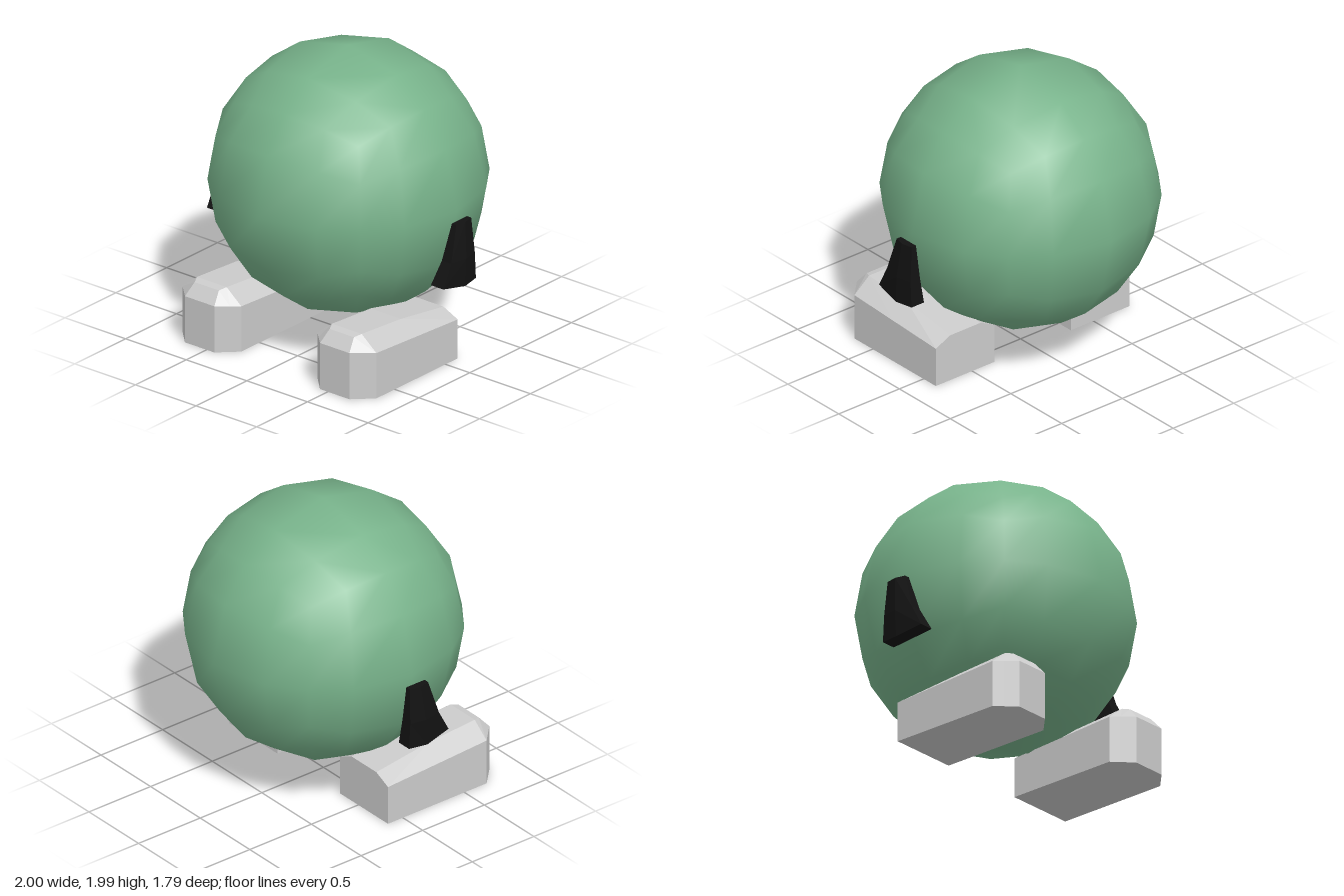
import * as THREE from 'three';

const paint = (color, flatShading) => new THREE.MeshStandardMaterial({ color, flatShading });

// Skins a list of rings (counter-clockwise seen from the last ring's end) and caps both ends.
// side = -1 mirrors the shape across x and reverses the winding.
function loft(rings, side) {
  const pos = [];
  const tri = (a, b, c) => {
    for (const p of side > 0 ? [a, b, c] : [a, c, b]) pos.push(side * p[0], p[1], p[2]);
  };
  const n = rings[0].length;
  for (let s = 0; s < rings.length - 1; s++) {
    for (let i = 0; i < n; i++) {
      const j = (i + 1) % n, a = rings[s], b = rings[s + 1];
      tri(a[i], a[j], b[j]);
      tri(a[i], b[j], b[i]);
    }
  }
  const first = rings[0], last = rings[rings.length - 1];
  for (let i = 1; i < n - 1; i++) {
    tri(first[0], first[i + 1], first[i]);
    tri(last[0], last[i], last[i + 1]);
  }
  const geo = new THREE.BufferGeometry();
  geo.setAttribute('position', new THREE.Float32BufferAttribute(pos, 3));
  geo.computeVertexNormals();
  return geo;
}

// Round body: a subdivided cube pushed out onto a sphere, smooth shaded
function makeBody() {
  const geo = new THREE.BoxGeometry(2, 2, 2, 4, 4, 4);
  const p = geo.attributes.position, v = new THREE.Vector3();
  for (let i = 0; i < p.count; i++) {
    v.fromBufferAttribute(p, i).normalize();
    geo.attributes.normal.setXYZ(i, v.x, v.y, v.z);
    v.multiplyScalar(0.895);
    p.setXYZ(i, v.x, v.y, v.z);
  }
  const body = new THREE.Mesh(geo, paint(0x78b38b, false));
  body.position.y = 1.09;
  body.name = 'body';
  return body;
}

// Foot: boxy shoe with a bevelled top and a chamfered toe
function makeFoot(side) {
  const cx = 0.557;
  // z, half width, rim height, top half width, top height
  const sections = [
    [-0.12, 0.243, 0.27, 0.125, 0.325],
    [0.3, 0.243, 0.293, 0.125, 0.385],
    [0.68, 0.243, 0.314, 0.122, 0.412],
    [0.73, 0.192, 0.317, 0.1, 0.4],
    [0.8, 0.121, 0.32, 0.121, 0.32],
  ];
  const rings = sections.map(([z, w, rim, tw, top]) => [
    [cx - w, 0, z], [cx + w, 0, z], [cx + w, rim, z],
    [cx + tw, top, z], [cx - tw, top, z], [cx - w, rim, z],
  ]);
  return new THREE.Mesh(loft(rings, side), paint(0xcccccc, true));
}

// Arm: tapered slab with a ridged outer face, flaring forward at the bottom
function makeArm(side) {
  // inner x, outer x, ridge x, back z, ridge z, front z, back y, ridge y, front y
  const sections = [
    [0.872, 0.975, 0.997, -0.09, 0.04, 0.23, 0.62, 0.615, 0.65],
    [0.897, 0.975, 0.998, -0.08, 0.03, 0.152, 0.8, 0.8, 0.8],
    [0.92, 0.955, 0.972, -0.068, 0.01, 0.08, 1.04, 1.04, 1.04],
  ];
  const rings = sections.map(([xi, xo, xr, zb, zr, zf, yb, yr, yf]) => [
    [xi, yb, zb], [xi, yf, zf], [xo, yf, zf], [xr, yr, zr], [xo, yb, zb],
  ]);
  return new THREE.Mesh(loft(rings, side), paint(0x121212, true));
}

export function createModel() {
  const model = new THREE.Group();
  model.add(makeBody());
  for (const [side, label] of [[1, 'left'], [-1, 'right']]) {
    const foot = makeFoot(side), arm = makeArm(side);
    foot.name = label + 'Foot';
    arm.name = label + 'Arm';
    model.add(foot, arm);
  }
  return model;
}
